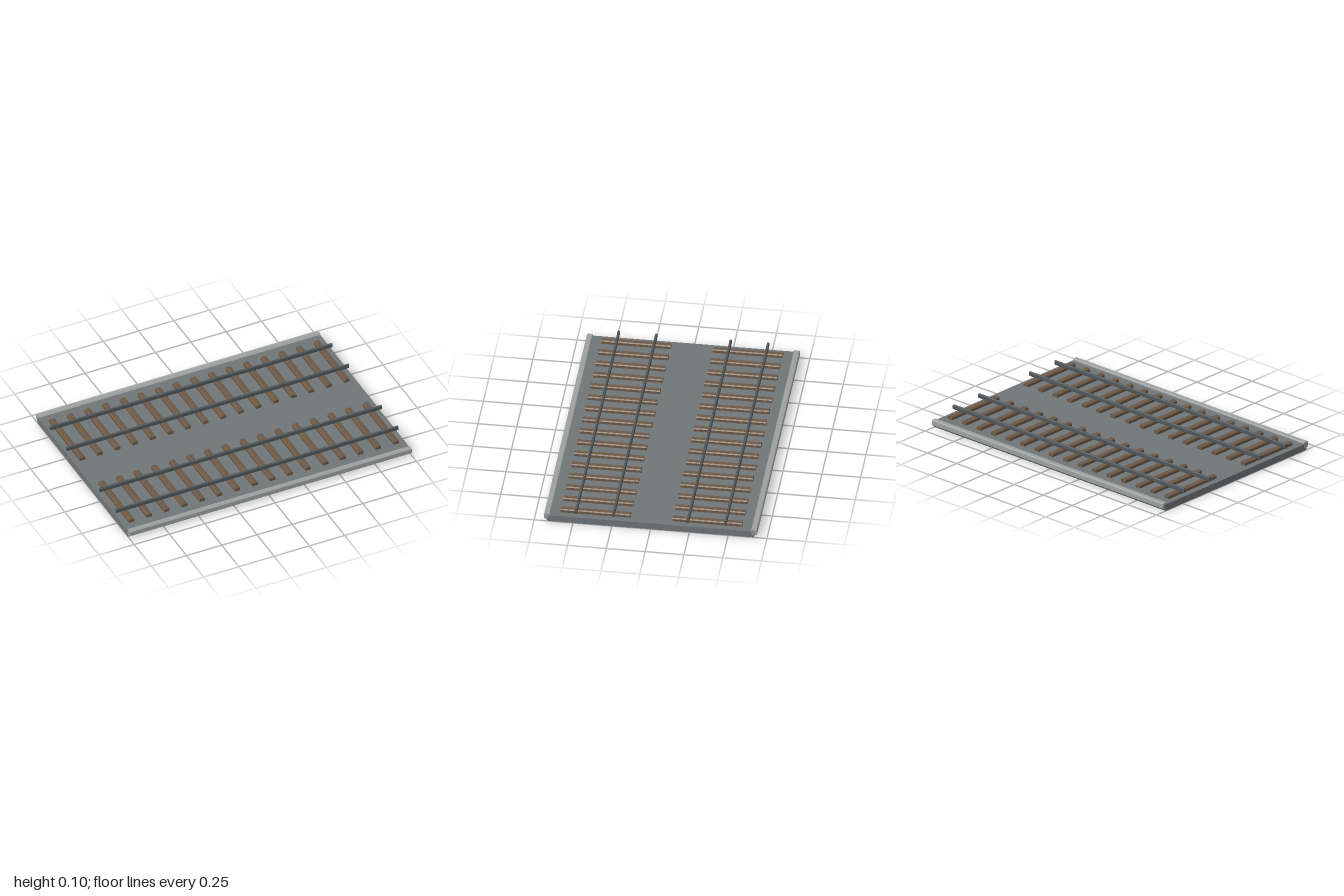
import * as THREE from 'three';

const material = (color) => new THREE.MeshStandardMaterial({ color, flatShading: true });
const materials = {
  deck: material(0x707578),
  curb: material(0x9ca19f),
  tie: material(0x6e5946),
  rail: material(0x50575b),
};

// Bar of rectangular section with bevelled long edges, centred, running along z
function bevelledBar(width, height, length, bevel) {
  const w = width / 2, h = height / 2, b = bevel;
  const section = new THREE.Shape([
    [-w + b, -h], [w - b, -h], [w, -h + b], [w, h - b],
    [w - b, h], [-w + b, h], [-w, h - b], [-w, -h + b],
  ].map(([x, y]) => new THREE.Vector2(x, y)));
  return new THREE.ExtrudeGeometry(section, { depth: length, bevelEnabled: false })
    .translate(0, 0, -length / 2);
}

const alongX = (geometry) => geometry.rotateY(Math.PI / 2);

export function createModel() {
  const model = new THREE.Group();
  model.name = 'doubleTrackSection';

  const add = (parent, name, geometry, mat, x, y, z) => {
    const mesh = new THREE.Mesh(geometry, mat);
    mesh.name = name;
    mesh.position.set(x, y, z);
    parent.add(mesh);
  };

  // Flat track bed
  add(model, 'deck', alongX(bevelledBar(1.34, 0.045, 2, 0.01)), materials.deck, 0, 0.0225, 0);

  const curb = alongX(bevelledBar(0.038, 0.039, 2, 0.005));
  const tie = bevelledBar(0.038, 0.032, 0.45, 0.006);
  const rail = alongX(bevelledBar(0.015, 0.029, 2, 0.003));
  const tieCount = 16;

  for (const side of [1, -1]) {
    const track = new THREE.Group();
    track.name = side > 0 ? 'frontTrack' : 'backTrack';
    model.add(track);

    // Raised edge
    add(track, 'curb', curb, materials.curb, 0, 0.0375, side * 0.667);

    // Cross ties
    for (let i = 0; i < tieCount; i++) {
      const x = (i - (tieCount - 1) / 2) * 0.125;
      add(track, 'tie', tie, materials.tie, x, 0.052, side * 0.36);
    }

    // Pair of rails
    for (const z of [0.24, 0.481]) {
      add(track, 'rail', rail, materials.rail, 0, 0.0845, side * z);
    }
  }
  return model;
}
